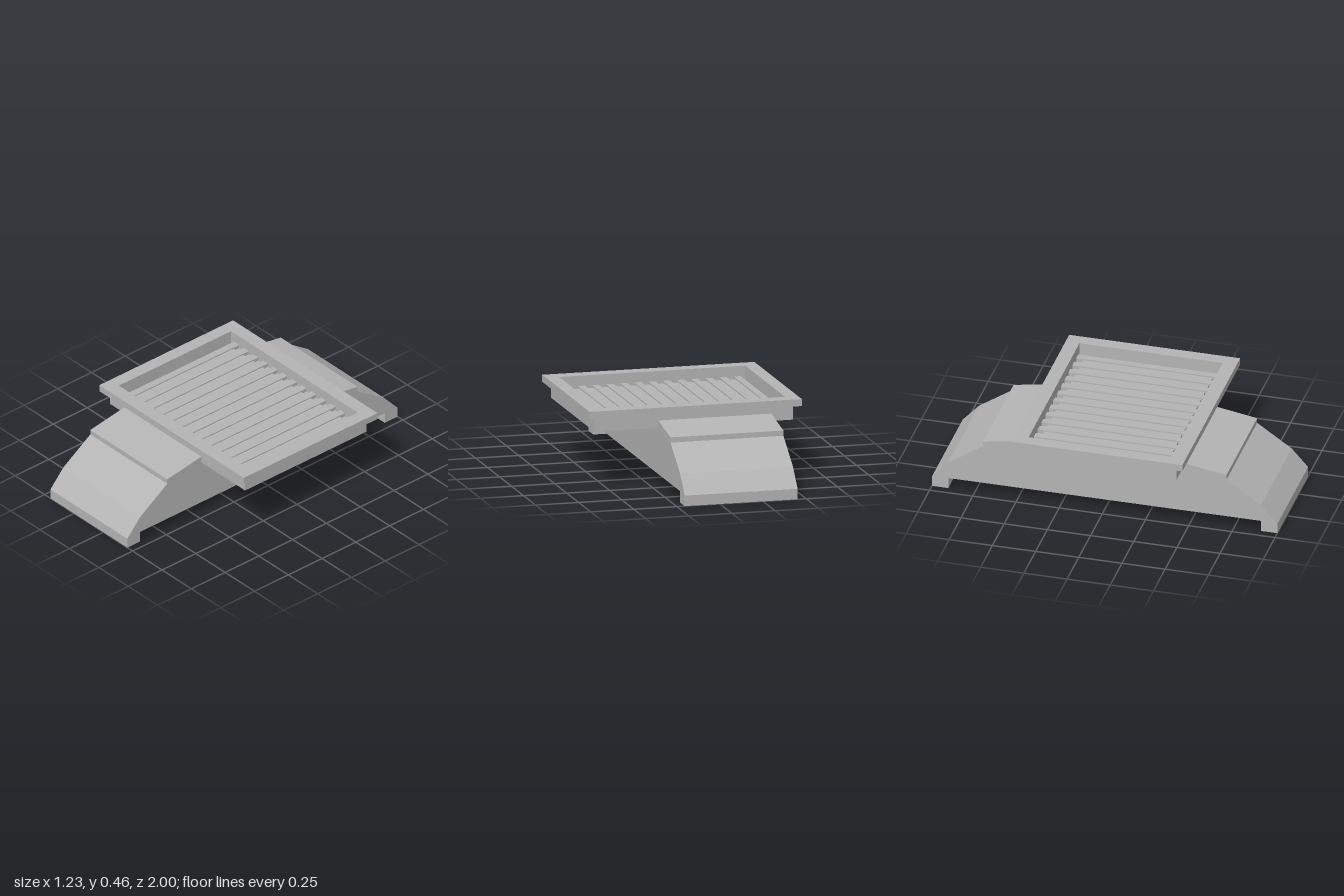
import * as THREE from 'three';

const grey = new THREE.MeshStandardMaterial({ color: 0xb4b4b4 });
grey.name = 'plain grey';

export function createModel() {
  const model = new THREE.Group();

  const add = (name, geometry, parent = model) => {
    const mesh = new THREE.Mesh(geometry, grey);
    mesh.name = name;
    parent.add(mesh);
    return mesh;
  };

  const box = (name, x0, x1, y0, y1, z0, z1, parent) => {
    const mesh = add(name, new THREE.BoxGeometry(x1 - x0, y1 - y0, z1 - z0), parent);
    mesh.position.set((x0 + x1) / 2, (y0 + y1) / 2, (z0 + z1) / 2);
    return mesh;
  };

  // Rectangular ring lying flat, from half sizes
  const rect = (Type, hx, hz) => new Type([
    new THREE.Vector2(-hx, -hz), new THREE.Vector2(hx, -hz),
    new THREE.Vector2(hx, hz), new THREE.Vector2(-hx, hz),
  ]);
  const ring = (name, outX, outZ, inX, inZ, y0, y1) => {
    const shape = rect(THREE.Shape, outX, outZ);
    shape.holes.push(rect(THREE.Path, inX, inZ));
    const geometry = new THREE.ExtrudeGeometry(shape, { depth: y1 - y0, bevelEnabled: false });
    geometry.rotateX(-Math.PI / 2);
    geometry.translate(0, y0, 0);
    return add(name, geometry);
  };

  // Bridge body: mirrored side profile swept across x
  const half = [[0.905, 0.065], [0.905, 0], [1, 0], [1, 0.06], [0.905, 0.165],
    [0.705, 0.3], [0.705, 0.33], [0.45, 0.372]];
  const profile = [...half, ...half.map(([z, y]) => [-z, y]).reverse()];
  const side = new THREE.Shape(profile.map(([z, y]) => new THREE.Vector2(z, y)));
  const body = new THREE.ExtrudeGeometry(side, { depth: 0.655, bevelEnabled: false });
  body.rotateY(-Math.PI / 2);
  body.translate(0.205, 0, 0);
  add('body', body);

  // Tray under the rim, with an inner ledge and closed floor
  ring('rim', 0.615, 0.495, 0.54, 0.415, 0.415, 0.455);
  ring('trayWall', 0.575, 0.45, 0.54, 0.415, 0.33, 0.415);
  ring('trayLedge', 0.54, 0.415, 0.495, 0.37, 0.33, 0.375);
  box('trayFloor', -0.495, 0.495, 0.365, 0.375, -0.37, 0.37);

  // Grille: long slats with shorter, slightly lower strips between them
  const grille = new THREE.Group();
  grille.name = 'grille';
  model.add(grille);
  const count = 13, pitch = 0.0821, width = 0.041;
  for (let i = 0; i < count; i++) {
    const x = (i - (count - 1) / 2) * pitch;
    box('slat', x - width / 2, x + width / 2, 0.375, 0.397, -0.415, 0.415, grille);
    if (i < count - 1) {
      box('infillStrip', x + width / 2, x + pitch - width / 2, 0.375, 0.39, -0.375, 0.375, grille);
    }
  }
  return model;
}
